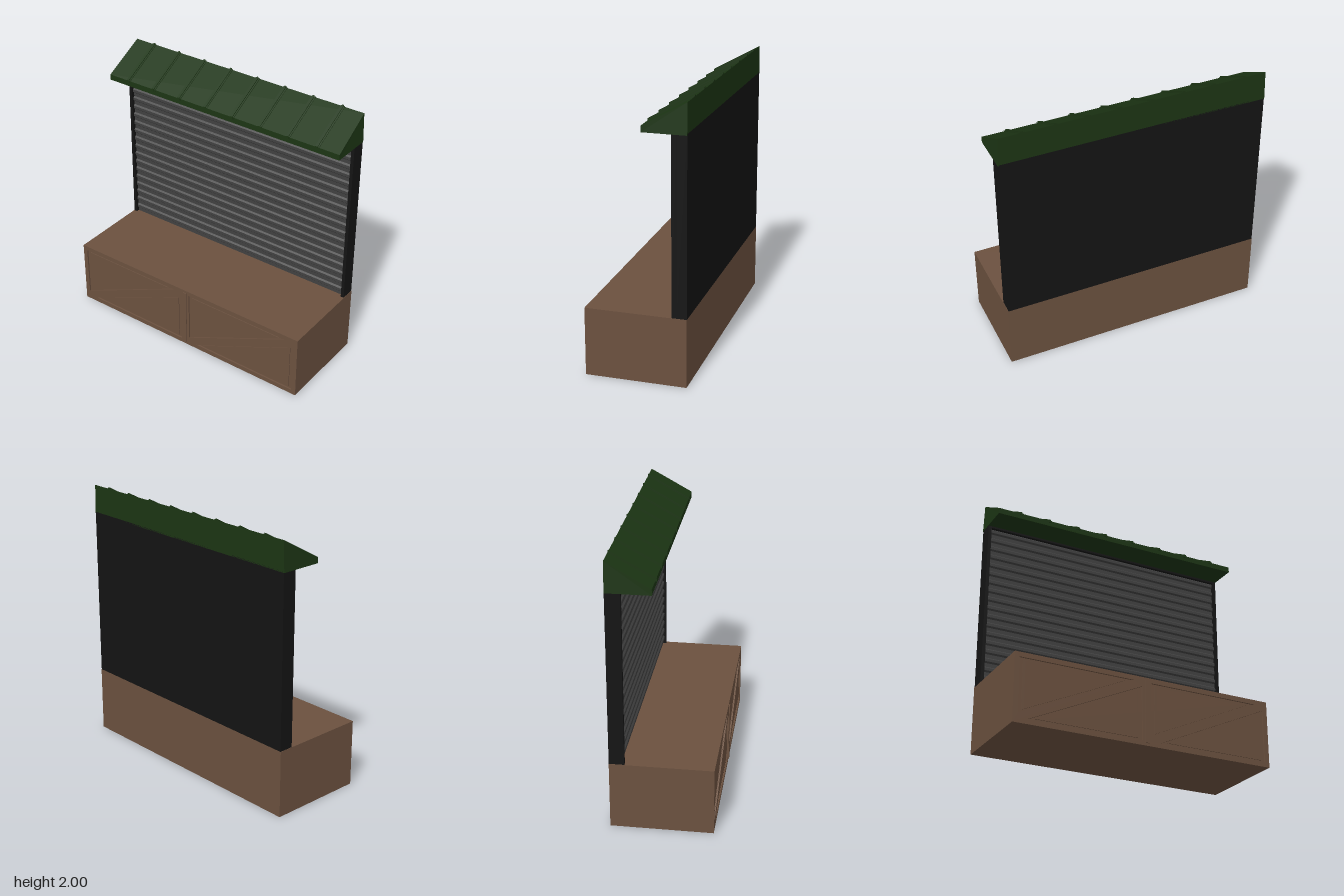
import * as THREE from 'three';

const material = (color) => new THREE.MeshStandardMaterial({ color, flatShading: true });

export function createModel() {
  const model = new THREE.Group();
  const wood = material(0x6b513f);
  const black = material(0x141414);
  const green = material(0x1c3514);
  const grey = material(0x414141);

  const add = (name, geometry, mat) => {
    const mesh = new THREE.Mesh(geometry, mat);
    mesh.name = name;
    model.add(mesh);
    return mesh;
  };
  // Box given by its lower and upper limits on each axis
  const box = (name, mat, [x0, x1], [y0, y1], [z0, z1]) => {
    const mesh = add(name, new THREE.BoxGeometry(x1 - x0, y1 - y0, z1 - z0), mat);
    mesh.position.set((x0 + x1) / 2, (y0 + y1) / 2, (z0 + z1) / 2);
    return mesh;
  };
  // Outline in x,y extruded along z, centred on z = 0
  const prism = (points, length) => {
    const shape = new THREE.Shape(points.map(([x, y]) => new THREE.Vector2(x, y)));
    const geometry = new THREE.ExtrudeGeometry(shape, { depth: length, bevelEnabled: false });
    return geometry.translate(0, 0, -length / 2);
  };

  const halfZ = 0.995, frontX = -0.365, backX = 0.365, counterTop = 0.5, wallTop = 1.78;

  // Counter, with a shallow recess behind the front frame
  box('counter', wood, [frontX + 0.012, backX], [0, counterTop], [-halfZ, halfZ]);

  // Framed front: each half has two triangular openings around a diagonal brace
  const rim = 0.035, brace = 0.07;
  const y0 = rim, y1 = counterTop - rim;
  const frame = new THREE.Shape();
  frame.moveTo(-halfZ, 0);
  frame.lineTo(halfZ, 0);
  frame.lineTo(halfZ, counterTop);
  frame.lineTo(-halfZ, counterTop);
  frame.closePath();
  const openings = [];
  for (const [a, b] of [[-halfZ + rim, -rim], [rim, halfZ - rim]]) {
    openings.push([[a, y0 + brace / 2], [a, y1], [b - brace, y1]]);
    openings.push([[a + brace, y0], [b, y1 - brace / 2], [b, y0]]);
  }
  for (const corners of openings) {
    frame.holes.push(new THREE.Path(corners.map(([z, y]) => new THREE.Vector2(z, y))));
  }
  const frameGeometry = new THREE.ExtrudeGeometry(frame, { depth: 0.012, bevelEnabled: false });
  frameGeometry.rotateY(-Math.PI / 2).translate(frontX + 0.012, 0, 0);
  add('counterFrontFrame', frameGeometry, wood);

  // Thin raised bead inside each triangular opening
  for (const corners of openings) {
    const centre = [0, 1].map((i) => corners.reduce((sum, p) => sum + p[i], 0) / 3);
    const inset = (k) => corners.map(([z, y]) => new THREE.Vector2(
      centre[0] + (z - centre[0]) * k, centre[1] + (y - centre[1]) * k));
    const bead = new THREE.Shape(inset(0.9));
    bead.holes.push(new THREE.Path(inset(0.84)));
    const geometry = new THREE.ExtrudeGeometry(bead, { depth: 0.006, bevelEnabled: false });
    add('panelBead', geometry.rotateY(-Math.PI / 2).translate(frontX + 0.012, 0, 0), wood);
  }
  box('centreStrip', wood, [frontX - 0.007, frontX + 0.002], [0.02, 0.48], [-0.015, 0.015]);

  // Wall with narrow side posts and a header around the shutter
  const wallZ = 0.992, wallX = 0.257;
  box('backWall', black, [0.295, backX], [counterTop, wallTop], [-wallZ, wallZ]);
  for (const side of [-1, 1]) {
    const edges = [side * wallZ, side * (wallZ - 0.025)].sort((a, b) => a - b);
    box('sidePost', black, [wallX, 0.295], [counterTop, wallTop], edges);
  }
  box('header', black, [wallX, 0.295], [wallTop - 0.025, wallTop], [-wallZ + 0.025, wallZ - 0.025]);

  // Roller shutter made of shallow ribs
  const ribs = 18;
  const pitch = (wallTop - 0.025 - counterTop) / ribs;
  const profile = [[0.297, counterTop]];
  for (let i = 0; i < ribs; i++) {
    const y = counterTop + i * pitch;
    profile.push([0.281, y], [0.281, y + pitch * 0.4], [0.27, y + pitch * 0.55], [0.27, y + pitch * 0.85]);
  }
  profile.push([0.281, wallTop - 0.025], [0.297, wallTop - 0.025]);
  add('rollerShutter', prism(profile.reverse(), 2 * (wallZ - 0.025)), grey);

  // Wedge-shaped awning, slightly narrower along its ridge
  const eave = [0.052, 1.813], ridge = [backX, 1.988];
  const roof = prism([[0.052, 1.77], [backX, 1.77], ridge, eave], 2 * halfZ);
  const position = roof.attributes.position;
  for (let i = 0; i < position.count; i++) {
    if (position.getY(i) > 1.9) position.setZ(i, position.getZ(i) * 0.992);
  }
  roof.computeVertexNormals();
  add('awning', roof, green);

  // Seams running down the slope, each with a low step beside it
  const seam = prism([[0.046, 1.8], [0.06, 1.8], [backX, 1.97], [backX, 2], [0.046, 1.822]], 0.014);
  const step = prism([[0.05, 1.8], [0.06, 1.8], [backX, 1.97], [backX, 1.993], [0.05, 1.817]], 0.034);
  for (let i = 0; i < 8; i++) {
    const z = (i - 3.5) * 0.234;
    add('awningSeam', seam, green).position.z = z;
    add('awningSeamBase', step, green).position.z = z;
  }
  return model;
}
